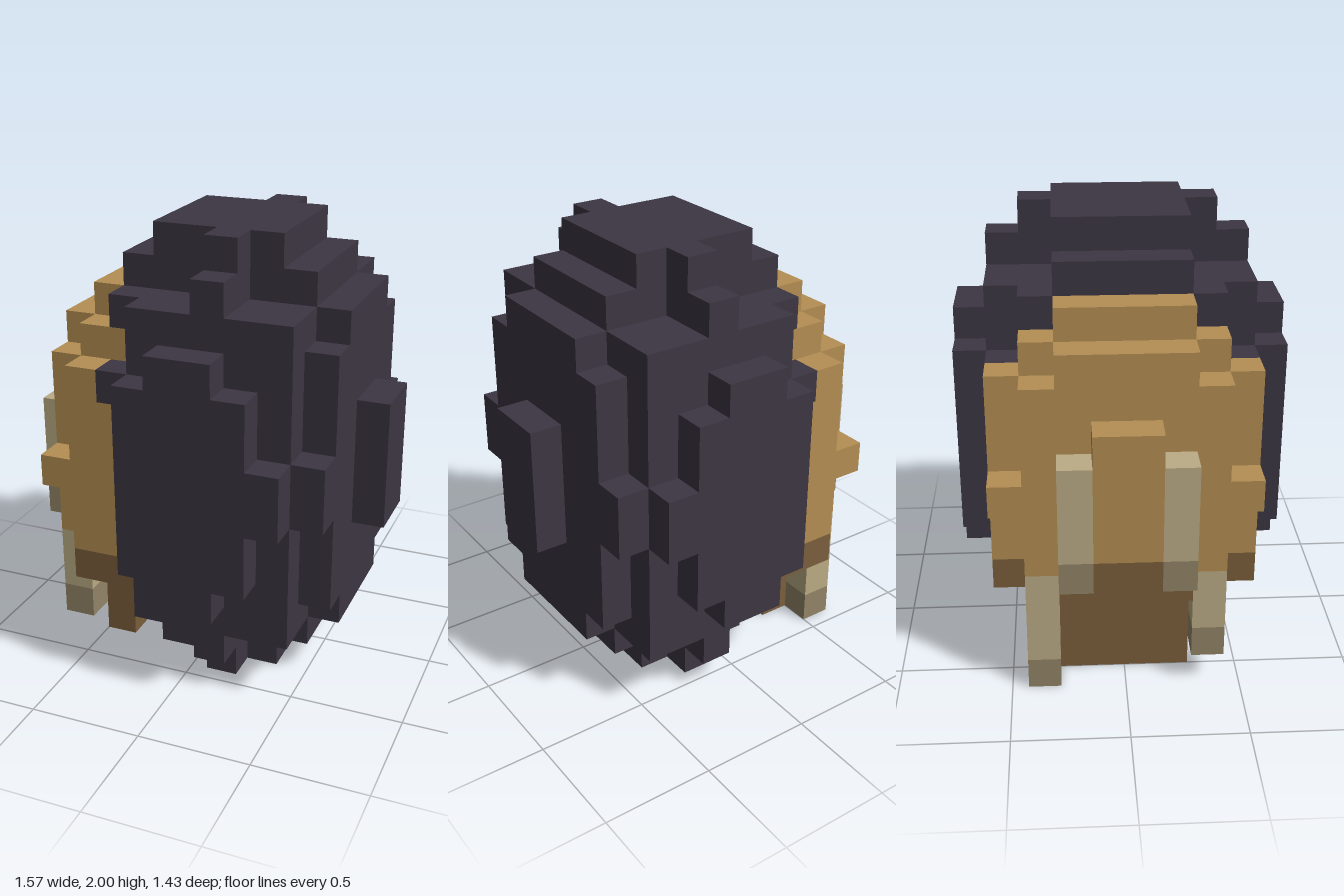
import * as THREE from 'three';

const U = 1 / 7; // one block

export function createModel() {
  const model = new THREE.Group();
  const mat = (name, color) => {
    const m = new THREE.MeshStandardMaterial({ color });
    m.name = name;
    return m;
  };
  const dark = mat('dark shell', 0x3c3642);
  const tan = mat('tan', 0xb58f53);
  const brown = mat('brown', 0x7b5f3c);
  const pale = mat('pale tusk', 0xbbac85);
  const dull = mat('dull tusk tip', 0x938668);

  // Block spanning grid lines i0..i1 (x), j0..j1 (y), k0..k1 (z, from the middle)
  function block(name, material, i0, i1, j0, j1, k0, k1) {
    const mesh = new THREE.Mesh(
      new THREE.BoxGeometry((i1 - i0) * U, (j1 - j0) * U, (k1 - k0) * U), material);
    mesh.position.set(((i0 + i1) / 2 - 5.5) * U, (j0 + j1) / 2 * U, (k0 + k1) / 2 * U);
    mesh.name = name;
    model.add(mesh);
  }
  // Block centred in z with half depth h
  const slab = (name, material, i0, i1, j0, j1, h) => block(name, material, i0, i1, j0, j1, -h, h);

  // Stepped shell, the same above and below the middle: [i0, i1, j0, j1, h]
  [
    [4, 8, 0, 14, 2], [6, 7, 0, 14, 3],
    [4, 9, 1, 13, 2], [6, 7, 1, 13, 4],
    [4, 9, 2, 12, 4], [4, 10, 2, 12, 2],
    [4, 10, 3, 11, 3], [5, 7, 3, 11, 5],
    [4, 8, 4, 10, 5],
    [4, 9, 6, 8, 5], [4, 10, 6, 8, 4],
  ].forEach((b) => slab('shell', dark, ...b));
  slab('sideKnob', dark, 10, 11, 5, 9, 1);

  // Shell edge around the face
  slab('shellBrow', dark, 3, 4, 12, 13, 2);
  slab('shellBrow', dark, 3, 4, 11, 12, 3);
  slab('shellTemple', dark, 3, 4, 9, 10, 4);

  // Face
  slab('forehead', tan, 2, 3, 11, 12, 2);
  slab('forehead', tan, 2, 4, 10, 11, 3);
  slab('forehead', tan, 1, 2, 10, 11, 2);
  slab('face', tan, 2, 3, 9, 10, 4);
  slab('face', tan, 2, 4, 4, 9, 4);
  slab('faceFront', tan, 1, 2, 4, 10, 3);
  slab('cheeks', tan, 1, 2, 6, 7, 4);
  slab('nose', tan, 0, 1, 5, 9, 1);
  slab('noseTip', brown, 0, 1, 4, 5, 1);

  // Chin
  slab('jaw', brown, 2, 4, 3, 4, 4);
  slab('jawFront', brown, 1, 2, 3, 4, 2);
  slab('chin', brown, 3, 4, 2, 3, 3);
  slab('chin', brown, 2, 4, 1, 3, 2);
  slab('chinTip', brown, 2, 3, 0, 1, 2);

  // Tusks: upper pair beside the nose, lower pair of unequal length
  for (const s of [-1, 1]) {
    const k = s < 0 ? -2 : 1;
    block('upperTusk', pale, 0, 1, 5, 8, k, k + 1);
    block('upperTuskTip', dull, 0, 1, 4, 5, k, k + 1);
    const low = s < 0 ? 0 : 1, q = s < 0 ? -3 : 2;
    block('lowerTusk', pale, 1, 2, low + 1, 4, q, q + 1);
    block('lowerTuskTip', dull, 1, 2, low, low + 1, q, q + 1);
  }
  return model;
}
